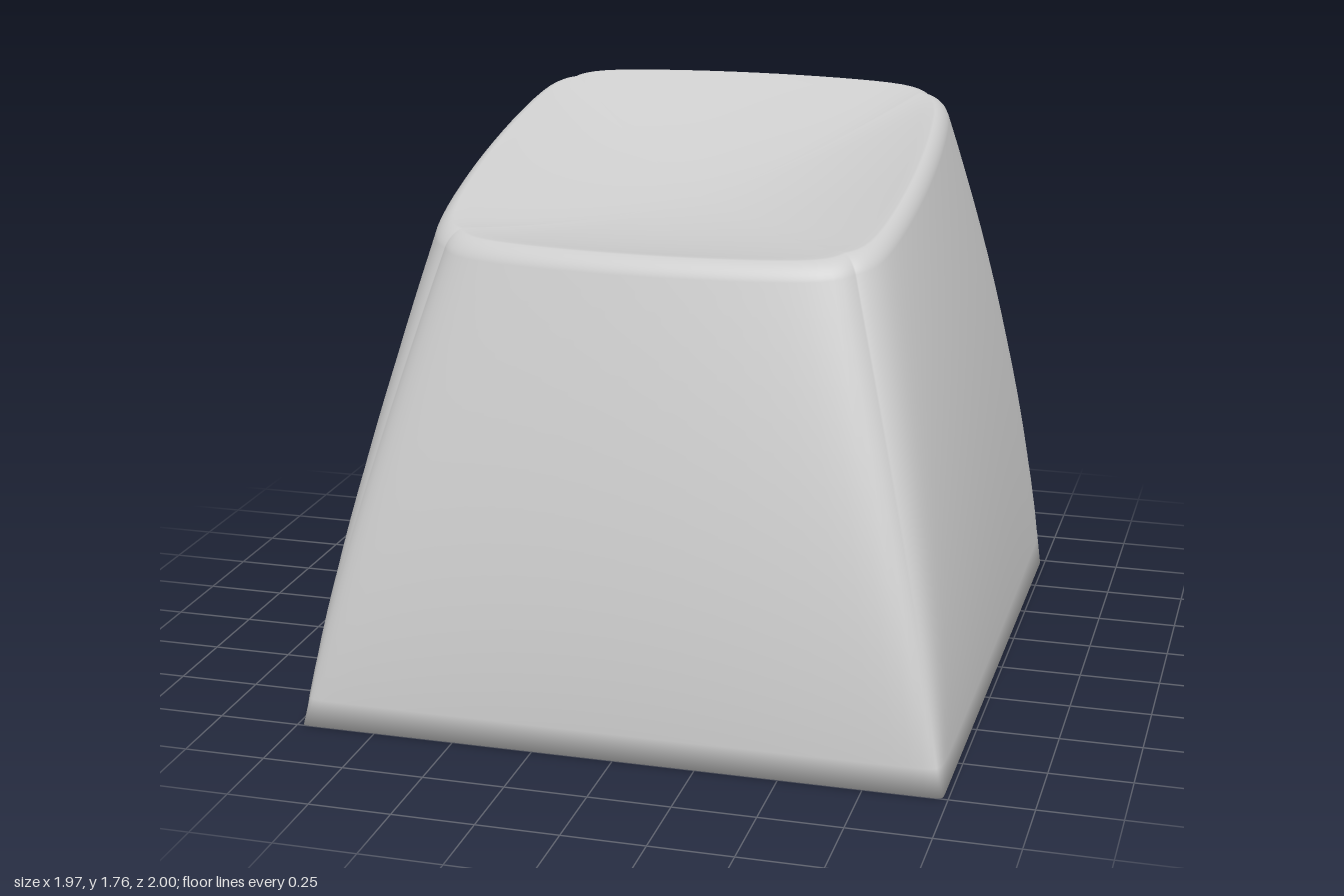
import * as THREE from 'three';
import { toCreasedNormals } from 'three/addons/utils/BufferGeometryUtils.js';

const SIDE = 28;      // points along each side of a ring
const DISH = 0.125;   // depth of the scooped top
const WALL = 0.2;
const RIM = 0.95;     // scale of the rim crest

// One rounded-square ring of the body.
// t: height fraction, k: scale, inset: wall offset, dy: lift, round: blend towards a circle
function ring(t, k = 1, inset = 0, dy = 0, round = 0) {
  const hx = 0.985 - 0.27 * t ** 1.6;
  const front = 1 - 0.3 * t ** 1.7;
  const back = 1 - 0.29 * t ** 2.1;
  // corners go from sharp at the base to well rounded at the top, while sides begin to bow
  const n = Math.LN2 / -Math.log(0.995 - 0.065 * t ** 0.7);
  const points = [];
  for (let side = 0; side < 4; side++) {
    const c = [1, 0, -1, 0][side], s = [0, 1, 0, -1][side];
    for (let i = 0; i < SIDE; i++) {
      const v = Math.sin((i / SIDE - 0.5) * Math.PI);
      const square = (1 + Math.abs(v) ** n) ** (-1 / n) * (1 - 0.08 * t * v * v);
      const r = THREE.MathUtils.lerp(square, 1 / Math.hypot(1, v), round);
      const u = (c - s * v) * r, w = (s + c * v) * r;
      const x = u * (hx - inset) * k;
      const z = w * ((w > 0 ? front : back) - inset) * k;
      points.push([x, t * (1.606 - 0.226 * z) + dy, z]);
    }
  }
  return points;
}

// Skin over a list of rings
function loft(rings) {
  const n = rings[0].length, index = [];
  for (let j = 0; j < rings.length - 1; j++) {
    for (let i = 0; i < n; i++) {
      const a = j * n + i, b = j * n + (i + 1) % n;
      index.push(a, a + n, b, b, a + n, b + n);
    }
  }
  const geometry = new THREE.BufferGeometry();
  geometry.setAttribute('position', new THREE.Float32BufferAttribute(rings.flat(2), 3));
  geometry.setIndex(index);
  geometry.computeVertexNormals();
  return geometry;
}

const steps = (n, fn) => Array.from({ length: n + 1 }, (_, i) => fn(i / n));

export function createModel() {
  const model = new THREE.Group();
  const material = new THREE.MeshStandardMaterial({ color: 0xcccccc });
  const add = (name, geometry) => {
    const mesh = new THREE.Mesh(geometry, material);
    mesh.name = name;
    model.add(mesh);
    return mesh;
  };

  // Lower edge, outer walls, rolled rim and dished top in one smooth skin
  add('outerShell', loft([
    ring(0, 1, WALL),
    ...steps(16, f => ring(0.97 * f)),
    ...steps(8, f => {
      const a = f * Math.PI / 2;
      return ring(0.97 + 0.03 * Math.sin(a), 1 - (1 - RIM) * (1 - Math.cos(a)));
    }).slice(1),
    ...steps(20, f => ring(1, RIM * (1 - f), 0, -DISH * (1 - (1 - f) ** 2), f)).slice(1),
  ]));

  // Hollow inside: ceiling and walls
  const top = 0.8;
  add('innerCeiling', loft(steps(6, f => ring(top, f, WALL))));
  add('innerWalls', loft(steps(16, f => ring(top * (1 - f), 1, WALL))));

  // Stem with a cross-shaped socket
  const outline = new THREE.Shape().absarc(0, 0, 0.295, 0, Math.PI * 2);
  const L = 0.23, W = 0.072;
  const cross = [[L, -W], [L, W], [W, W], [W, L], [-W, L], [-W, W],
    [-L, W], [-L, -W], [-W, -W], [-W, -L], [W, -L], [W, -W]];
  outline.holes.push(new THREE.Path(cross.map(([x, y]) => new THREE.Vector2(x, y)).reverse()));
  const socket = new THREE.ExtrudeGeometry(outline, { depth: 0.45, bevelEnabled: false, curveSegments: 48 });
  socket.rotateX(-Math.PI / 2);
  add('stemSocket', toCreasedNormals(socket, 0.6)).position.y = 0.04;
  add('stem', new THREE.CylinderGeometry(0.295, 0.295, 0.86, 48)).position.y = 0.92;

  // Crossed support ribs between stem and walls
  const profile = new THREE.Shape([[-0.76, 0.59], [0.76, 0.59], [0.62, 1.25], [-0.62, 1.25]]
    .map(([x, y]) => new THREE.Vector2(x, y)));
  for (const [name, angle] of [['crossRib', 0], ['lengthRib', Math.PI / 2]]) {
    const rib = new THREE.ExtrudeGeometry(profile, { depth: 0.08, bevelEnabled: false });
    rib.translate(0, 0, -0.04);
    add(name, rib).rotation.y = angle;
  }
  return model;
}
